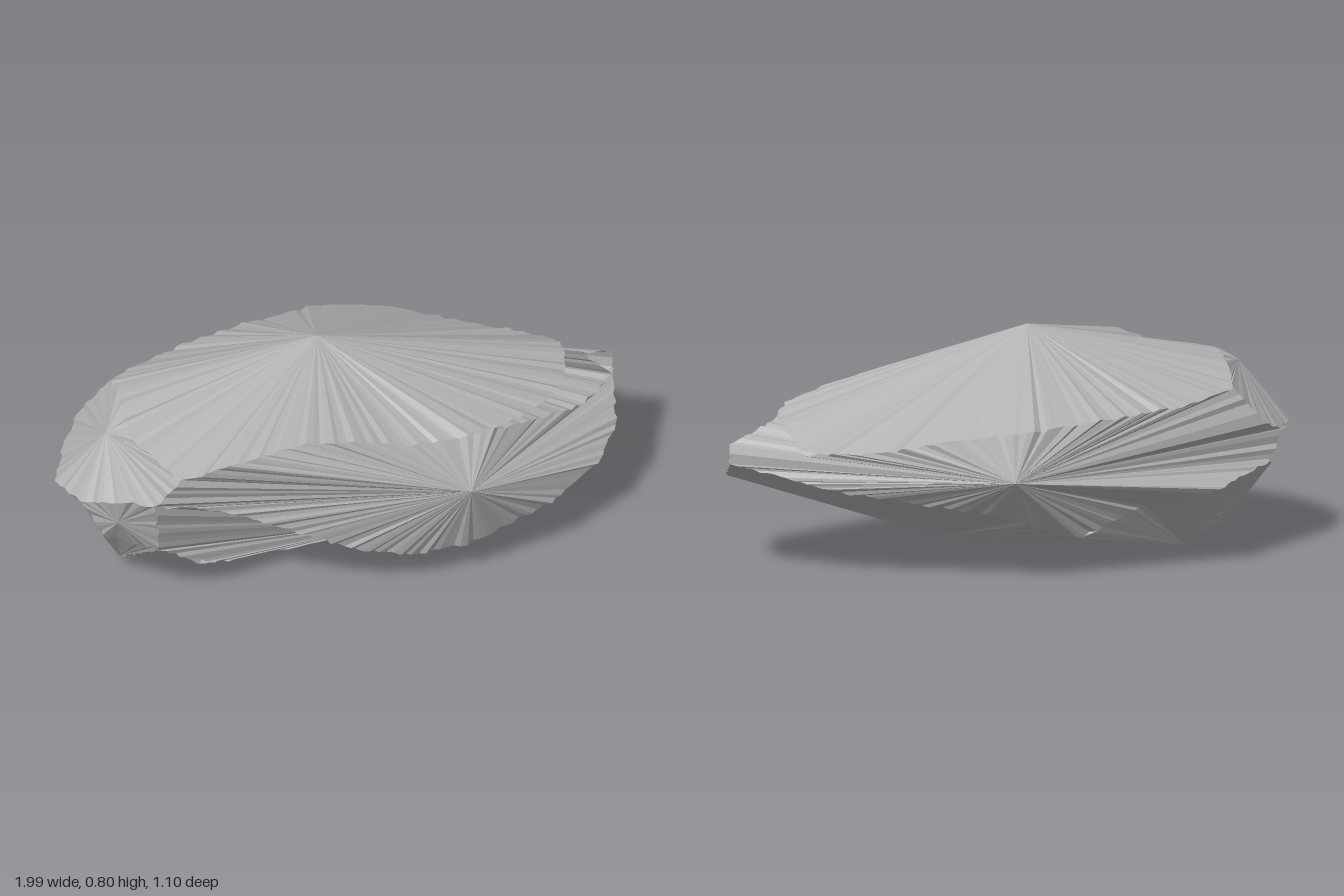
import * as THREE from 'three';

const stone = new THREE.MeshStandardMaterial({ color: 0xb2b2b2, flatShading: true, side: THREE.DoubleSide });
stone.name = 'grey stone';

// Repeatable noise from a position, so rims shared by two facets match
function noise(p, k) {
  const s = Math.round(p.x * 500) * 12.9898 + Math.round(p.y * 500) * 78.233 + Math.round(p.z * 500) * 37.719 + k * 11.3;
  const f = Math.sin(s) * 43758.5453;
  return f - Math.floor(f) - 0.5;
}

// Edges shared between neighbouring facets
const frontTop = [[-0.62, 0.6, 0.53], [-0.45, 0.66, 0.55], [-0.2, 0.67, 0.48], [0, 0.64, 0.45], [0.2, 0.58, 0.42]];
const overhang = [[0.4, 0.575, 0.39], [0.6, 0.55, 0.28], [0.75, 0.53, 0.13], [0.81, 0.52, -0.03], [0.81, 0.51, -0.18], [0.75, 0.44, -0.32]];
const backTop = [[0.5, 0.46, -0.41], [0.25, 0.51, -0.47], [0, 0.53, -0.48], [-0.33, 0.55, -0.37], [-0.59, 0.56, -0.24], [-0.77, 0.58, -0.1]];
const leftTop = [[-0.76, 0.65, 0.05], [-0.76, 0.64, 0.3]];
const ledge = [[0.5, 0.555, 0.34], [0.65, 0.51, 0.25], [0.8, 0.46, 0.14], [0.9, 0.43, 0.03], [0.98, 0.4, -0.12]];
const ledgeEnd = [0.99, 0.39, -0.18];
const ledgeBack = [[0.99, 0.45, -0.17], [0.87, 0.5, -0.12]];
const frontBottom = [[0.97, 0.3, 0.04], [0.88, 0.26, 0.2], [0.7, 0.21, 0.33], [0.4, 0.13, 0.42], [0.2, 0.13, 0.45],
  [0, 0.2, 0.48], [-0.3, 0.36, 0.5], [-0.55, 0.46, 0.5], [-0.7, 0.48, 0.51]];
const backBottom = [[-0.2, 0.12, -0.33], [0.1, 0.22, -0.38], [0.45, 0.28, -0.35], [0.65, 0.31, -0.33], [0.85, 0.36, -0.26]];
const leftMiddle = [[-0.88, 0.45, -0.1], [-0.95, 0.41, 0.02], [-1, 0.4, 0.2]];
const leftFront = [[-0.94, 0.42, 0.36], [-0.8, 0.49, 0.48]];
const leftBottom = [[-0.68, 0.25, 0.45], [-0.85, 0.22, 0.3], [-0.92, 0.28, 0.1], [-0.9, 0.31, -0.05]];
const footFront = [[-0.52, 0.14, 0.39], [-0.4, 0.09, 0.33], [-0.25, 0.06, 0.26], [-0.02, 0.04, 0.2], [-0.12, 0.07, 0.03]];
const footBack = [[-0.45, 0.2, -0.18], [-0.68, 0.27, -0.31]];
const footTip = [-0.62, 0, 0.06];
const footEnd = [-0.78, 0.05, 0.2];
const footCorner = [-0.52, 0.035, 0.27];

// Each facet is a fan of thin slices from one apex to a ragged closed rim
const facets = {
  topFacet: { apex: [-0.07, 0.8, 0.04], rim: [...frontTop, ...overhang, ...backTop, ...leftTop] },
  frontFacet: { apex: [0.4, 0.41, 0.49], rim: [...frontTop, ...ledge, ledgeEnd, ...frontBottom] },
  backFacet: {
    apex: [0.05, 0.37, -0.55],
    rim: [frontTop[4], ...overhang, ...backTop, ...leftMiddle, leftBottom[2], leftBottom[3], footBack[1], footBack[0],
      ...backBottom, ledgeEnd, ...ledgeBack, ...[...ledge].reverse()],
  },
  undersideFacet: {
    apex: [0.22, 0.04, 0.13],
    rim: [...frontBottom, leftBottom[0], ...footFront, ...backBottom, ledgeEnd],
  },
  shoulderFacet: {
    apex: [-0.83, 0.61, 0.23],
    rim: [...leftTop, frontTop[0], frontBottom[8], leftFront[1], leftFront[0], ...[...leftMiddle].reverse(), backTop[5]],
  },
  leftFacet: {
    apex: [-0.82, 0.37, 0.43],
    rim: [...leftFront, frontBottom[8], ...leftBottom.slice(0, 3), leftMiddle[2]],
  },
  footFacet: {
    apex: footTip,
    rim: [leftBottom[0], footFront[0], footCorner, ...footFront.slice(1), backBottom[0], ...footBack, leftBottom[3], footEnd],
  },
  footEndFacet: { apex: footEnd, rim: [...leftBottom, footTip] },
};

// Split the rim into short steps and roughen it
function raggedRim(points) {
  const corners = points.map((p) => new THREE.Vector3(...p));
  const out = [];
  corners.forEach((a, i) => {
    const b = corners[(i + 1) % corners.length];
    const steps = Math.max(1, Math.round(a.distanceTo(b) / 0.025));
    for (let s = 0; s < steps; s++) {
      const p = a.clone().lerp(b, s / steps);
      const offset = new THREE.Vector3(noise(p, 1), noise(p, 2), noise(p, 3)).multiplyScalar(0.011);
      out.push(p.add(offset));
    }
  });
  return out;
}

function fan(apex, rimPoints) {
  const rim = raggedRim(rimPoints);
  const positions = [];
  rim.forEach((p, i) => positions.push(...apex, ...p.toArray(), ...rim[(i + 1) % rim.length].toArray()));
  const geometry = new THREE.BufferGeometry();
  geometry.setAttribute('position', new THREE.Float32BufferAttribute(positions, 3));
  geometry.computeVertexNormals();
  return geometry;
}

export function createModel() {
  const rock = new THREE.Group();
  rock.name = 'rock';
  for (const [name, { apex, rim }] of Object.entries(facets)) {
    const mesh = new THREE.Mesh(fan(apex, rim), stone);
    mesh.name = name;
    rock.add(mesh);
  }
  return rock;
}
